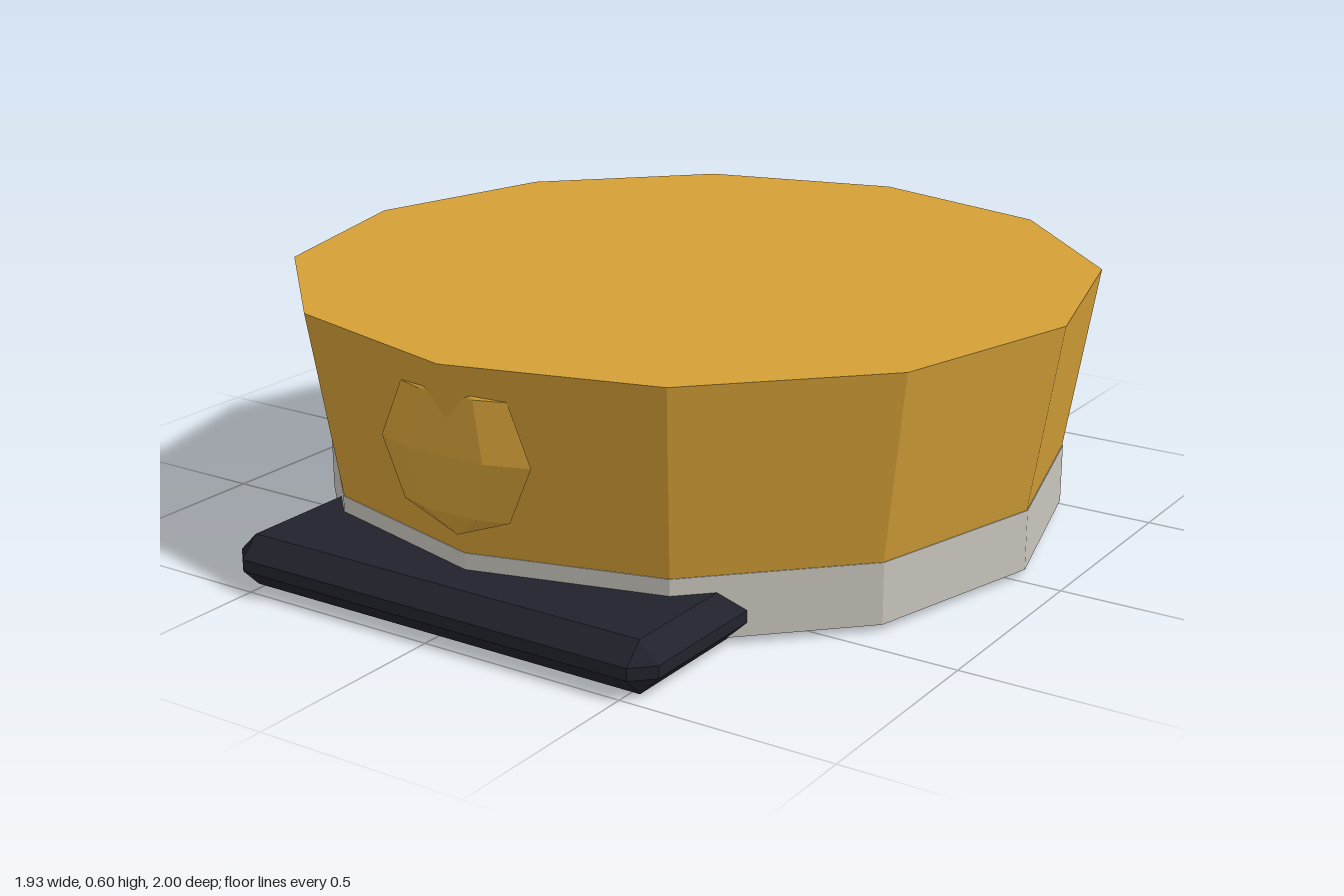
import * as THREE from 'three';
import { ConvexGeometry } from 'three/addons/geometries/ConvexGeometry.js';

function material(name, color) {
  const m = new THREE.MeshStandardMaterial({ color, flatShading: true });
  m.name = name;
  return m;
}

// Box with every edge and corner cut by c
function chamferedBox(w, h, d, c) {
  const half = [w / 2, h / 2, d / 2];
  const points = [];
  for (const sx of [-1, 1]) for (const sy of [-1, 1]) for (const sz of [-1, 1]) {
    for (let face = 0; face < 3; face++) {
      const [x, y, z] = half.map((s, axis) => (axis === face ? s : s - c));
      points.push(new THREE.Vector3(sx * x, sy * y, sz * z));
    }
  }
  return new ConvexGeometry(points);
}

export function createModel() {
  const group = new THREE.Group();
  group.name = 'cap';
  const gold = material('gold', 0xd4a037);
  const grey = material('lightGrey', 0xc8c4bc);
  const dark = material('darkNavy', 0x22222d);

  const add = (name, geometry, mat, x, y, z) => {
    const mesh = new THREE.Mesh(geometry, mat);
    mesh.name = name;
    mesh.position.set(x, y, z);
    group.add(mesh);
    return mesh;
  };

  const centreZ = -0.035;
  // Twelve-sided band and flared crown
  add('band', new THREE.CylinderGeometry(0.895, 0.895, 0.143, 12), grey, 0, 0.0865, centreZ);
  add('crown', new THREE.CylinderGeometry(0.965, 0.893, 0.442, 12), gold, 0, 0.379, centreZ);

  // Bevelled visor tucked under the front
  add('visor', chamferedBox(1.13, 0.12, 0.565, 0.046), dark, 0, 0.06, 0.7175);

  // Flattened badge half sunk into the crown
  const badge = add('badge', new THREE.SphereGeometry(1, 6, 4), gold, 0, 0.395, 0.881);
  badge.scale.set(0.2, 0.188, 0.04);

  return group;
}
